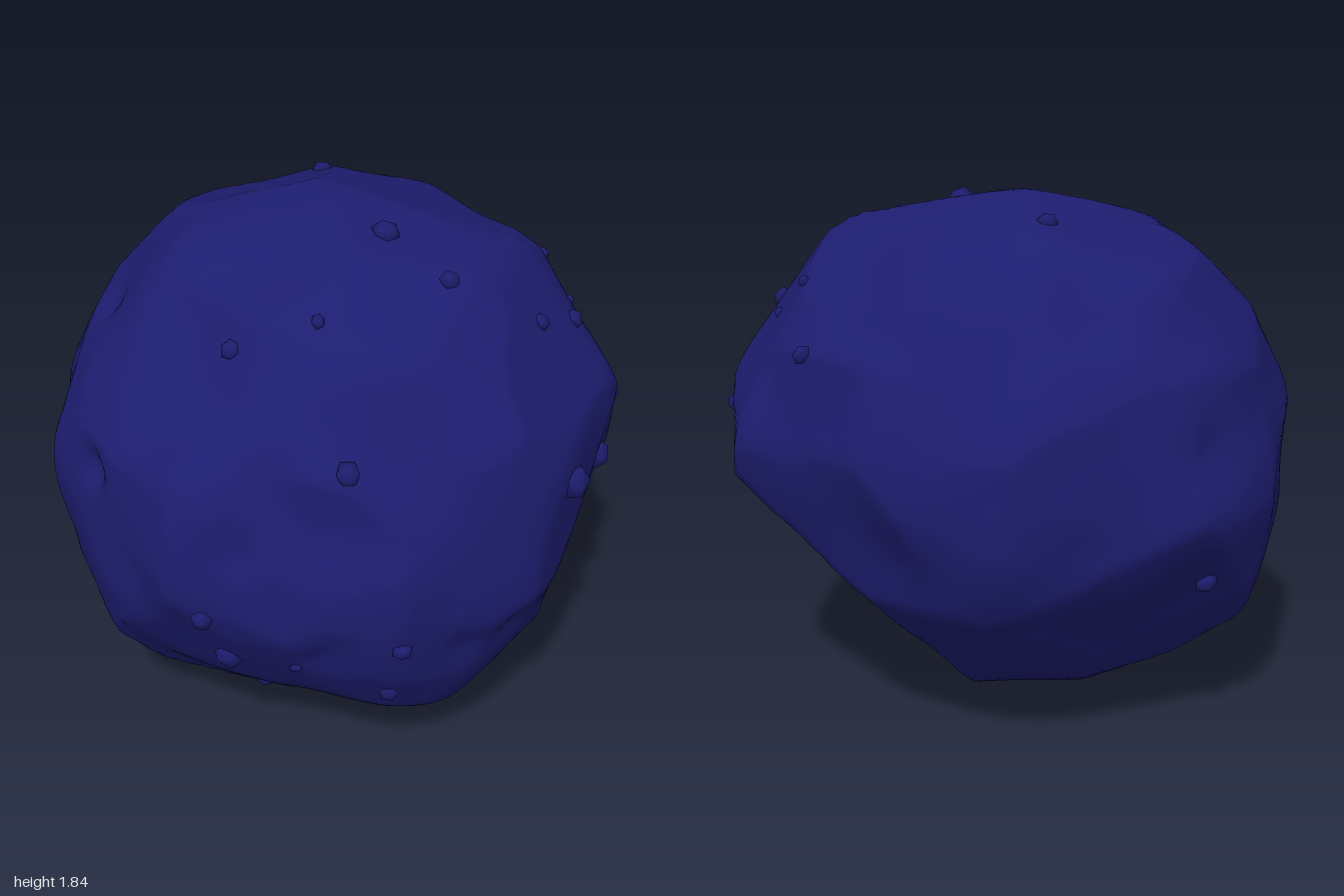
import * as THREE from 'three';
import { mergeVertices } from 'three/addons/utils/BufferGeometryUtils.js';

const CENTRE = new THREE.Vector3(0, 0.93, 0);
const DEG = Math.PI / 180;

// An outline around the centre, in a plane turned by azimuth and elevation
function outline(azimuth, elevation, points) {
  const a = azimuth * DEG, e = elevation * DEG;
  const right = new THREE.Vector3(Math.cos(a), 0, -Math.sin(a));
  const facing = new THREE.Vector3(Math.sin(a) * Math.cos(e), Math.sin(e), Math.cos(a) * Math.cos(e));
  return { right, facing, up: facing.clone().cross(right), radius: polar(points) };
}

// Radius of an outline as a function of angle, straight between its corners
function polar(points) {
  const list = points.map(([u, v]) => ({ angle: Math.atan2(v, u), u, v })).sort((p, q) => p.angle - q.angle);
  return (angle) => {
    let i = list.findIndex((p) => p.angle > angle);
    if (i < 0) i = 0;
    const p = list[(i + list.length - 1) % list.length], q = list[i];
    const du = q.u - p.u, dv = q.v - p.v;
    return (p.u * dv - p.v * du) / (Math.cos(angle) * dv - Math.sin(angle) * du);
  };
}

// Main corners of the rock: two upright planes, one level plane, three slanting planes
const outlines = [
  outline(0, 0, [[0.25, -0.93], [-0.36, -0.82], [-0.76, -0.66], [-0.91, -0.38], [-1, -0.05], [-0.94, 0.4],
    [-0.75, 0.69], [-0.15, 0.92], [0.6, 0.83], [0.95, 0.45], [1, -0.2], [0.78, -0.68]]),
  outline(-90, 0, [[0.22, -0.93], [0.76, -0.71], [0.92, -0.53], [0.98, -0.18], [0.94, 0.25], [0.55, 0.75],
    [-0.05, 0.92], [-0.57, 0.77], [-0.93, 0.47], [-0.98, 0.15], [-0.82, -0.38], [-0.41, -0.79]]),
  outline(0, -90, [[0.42, -0.97], [0.75, -0.67], [0.99, -0.05], [0.9, 0.45], [0.33, 0.97], [-0.41, 0.95],
    [-0.77, 0.65], [-0.99, 0.18], [-0.99, -0.22], [-0.66, -0.75], [-0.2, -0.99]]),
  outline(34, 25, [[-0.2, 0.96], [0.47, 0.92], [0.68, 0.78], [1, 0.3], [0.85, -0.55], [0.57, -0.84], [0, -0.96],
    [-0.49, -0.9], [-0.86, -0.58], [-1, 0.1], [-0.85, 0.51], [-0.59, 0.83]]),
  outline(214, 25, [[0.07, 0.95], [0.42, 0.88], [0.84, 0.46], [1.01, 0.19], [1, -0.1], [0.81, -0.66],
    [0.29, -0.86], [-0.1, -0.89], [-0.99, -0.17], [-0.98, 0.28], [-0.63, 0.84]]),
  outline(140, -30, [[-0.06, 1.05], [0.62, 0.82], [1, 0.22], [0.92, -0.25], [0.51, -0.8], [0.1, -0.98],
    [-0.44, -0.94], [-0.93, -0.28], [-0.99, 0.28], [-0.58, 0.88]]),
];

// Blend of the nearest outlines, never reaching beyond any of them
function outlineRadius(d) {
  let sum = 0, weights = 0, limit = Infinity;
  for (const { right, up, facing, radius } of outlines) {
    const c = d.dot(facing), r = radius(Math.atan2(d.dot(up), d.dot(right)));
    const w = (c * c + 0.012) ** -1.5;
    sum += w * r;
    weights += w;
    limit = Math.min(limit, r / Math.sqrt(Math.max(1 - c * c, 1e-4)));
  }
  return Math.min(sum / weights, limit);
}

// Small stones: x, y, z, radius
const stones = [
  [-0.35, 1.77, -0.24, 0.038], [0.25, 1.79, -0.02, 0.05], [0.53, 1.7, -0.04, 0.037], [0.39, 1.64, 0.38, 0.028],
  [0.18, 1.51, 0.56, 0.037], [0.68, 1.27, 0.5, 0.043], [0.14, 1.36, -0.87, 0.037], [0.64, 1.46, -0.56, 0.037],
  [0.66, 1.51, -0.33, 0.032], [0.49, 1.43, -0.68, 0.022], [0.34, 1.55, -0.68, 0.024], [0.95, 1.07, -0.25, 0.063],
  [0.77, 0.97, -0.57, 0.053], [0.65, 1.1, -0.77, 0.027], [0.41, 0.74, 0.88, 0.04], [0.4, 0.51, 0.79, 0.053],
  [0.59, 0.54, 0.64, 0.022], [0.8, 0.41, 0.41, 0.036], [0.87, 0.67, 0.43, 0.036], [0.2, 0.15, 0.48, 0.036],
  [-0.61, 0.85, 0.7, 0.036], [-0.92, 0.62, -0.08, 0.045],
];

// The stones, the peak and the lowest point lie on the surface and steer it
const anchors = [...stones, [-0.15, 1.85, -0.05], [0.2, 0, 0.22]].map(([x, y, z]) => {
  const dir = new THREE.Vector3(x, y, z).sub(CENTRE);
  const length = dir.length();
  dir.normalize();
  return { dir, offset: length - outlineRadius(dir) };
});

// Dents: x, y, z, angular width, depth
const dents = [
  [-0.12, 1.07, 0.93, 0.07, 0.045], [-0.37, 1.2, 0.83, 0.08, 0.025], [-0.48, 1.42, 0.57, 0.09, 0.03],
  [0.5, 1.0, 0.8, 0.09, 0.03], [0.72, 0.6, 0.62, 0.08, 0.03], [-0.68, 1.5, -0.38, 0.11, 0.03],
  [-0.94, 1.06, -0.16, 0.1, 0.025], [-0.25, 0.72, -0.85, 0.2, 0.035], [0.65, 0.48, -0.47, 0.2, 0.035],
  [0.9, 1.25, -0.08, 0.1, 0.015], [0.9, 0.6, 0.2, 0.08, 0.02], [0.93, 0.58, 0, 0.08, 0.02],
].map(([x, y, z, width, depth]) => ({ dir: new THREE.Vector3(x, y, z).sub(CENTRE).normalize(), width, depth }));

// Distance from the centre to the surface along a unit direction
function surfaceRadius(d) {
  let pull = 0, total = 0.15;
  for (const { dir, offset } of anchors) {
    const g = Math.exp(-((d.angleTo(dir) / 0.23) ** 2));
    pull += g * offset;
    total += g;
  }
  let r = outlineRadius(d) + pull / total;
  for (const { dir, width, depth } of dents) r -= depth * Math.exp(-((d.angleTo(dir) / width) ** 2));
  // gentle unevenness
  return r + 0.005 * Math.sin(11 * d.x + 4 * d.y) * Math.sin(10 * d.y - 7 * d.z + 1);
}

// Joins the corners of an icosahedron so that its normals are smooth
function smoothSphere(detail) {
  const geometry = new THREE.IcosahedronGeometry(1, detail);
  geometry.deleteAttribute('uv');
  geometry.deleteAttribute('normal');
  return mergeVertices(geometry, 1e-4);
}

export function createModel() {
  const group = new THREE.Group();
  group.name = 'asteroid';
  const rock = new THREE.MeshStandardMaterial({ color: 0x1d1d70 });
  rock.name = 'dark blue rock';

  // Main body: a fine sphere pushed out to the surface
  const geometry = smoothSphere(32);
  const position = geometry.attributes.position;
  const v = new THREE.Vector3();
  for (let i = 0; i < position.count; i++) {
    v.fromBufferAttribute(position, i).normalize();
    v.multiplyScalar(surfaceRadius(v)).add(CENTRE);
    position.setXYZ(i, v.x, v.y, v.z);
  }
  geometry.computeVertexNormals();
  const body = new THREE.Mesh(geometry, rock);
  body.name = 'body';
  group.add(body);

  // Stones half sunk into the surface
  const stoneShape = smoothSphere(0);
  stoneShape.computeVertexNormals();
  const pebbles = new THREE.Group();
  pebbles.name = 'stones';
  stones.forEach(([x, y, z, r], i) => {
    const dir = new THREE.Vector3(x, y, z).sub(CENTRE).normalize();
    const stone = new THREE.Mesh(stoneShape, rock);
    stone.name = 'stone';
    stone.position.copy(dir).multiplyScalar(surfaceRadius(dir)).add(CENTRE);
    stone.quaternion.setFromUnitVectors(new THREE.Vector3(0, 0, 1), dir);
    stone.rotateZ(i * 1.3);
    stone.scale.set(r * (i % 3 ? 1 : 0.85), r * 1.05, r * 0.8);
    pebbles.add(stone);
  });
  group.add(pebbles);
  return group;
}
